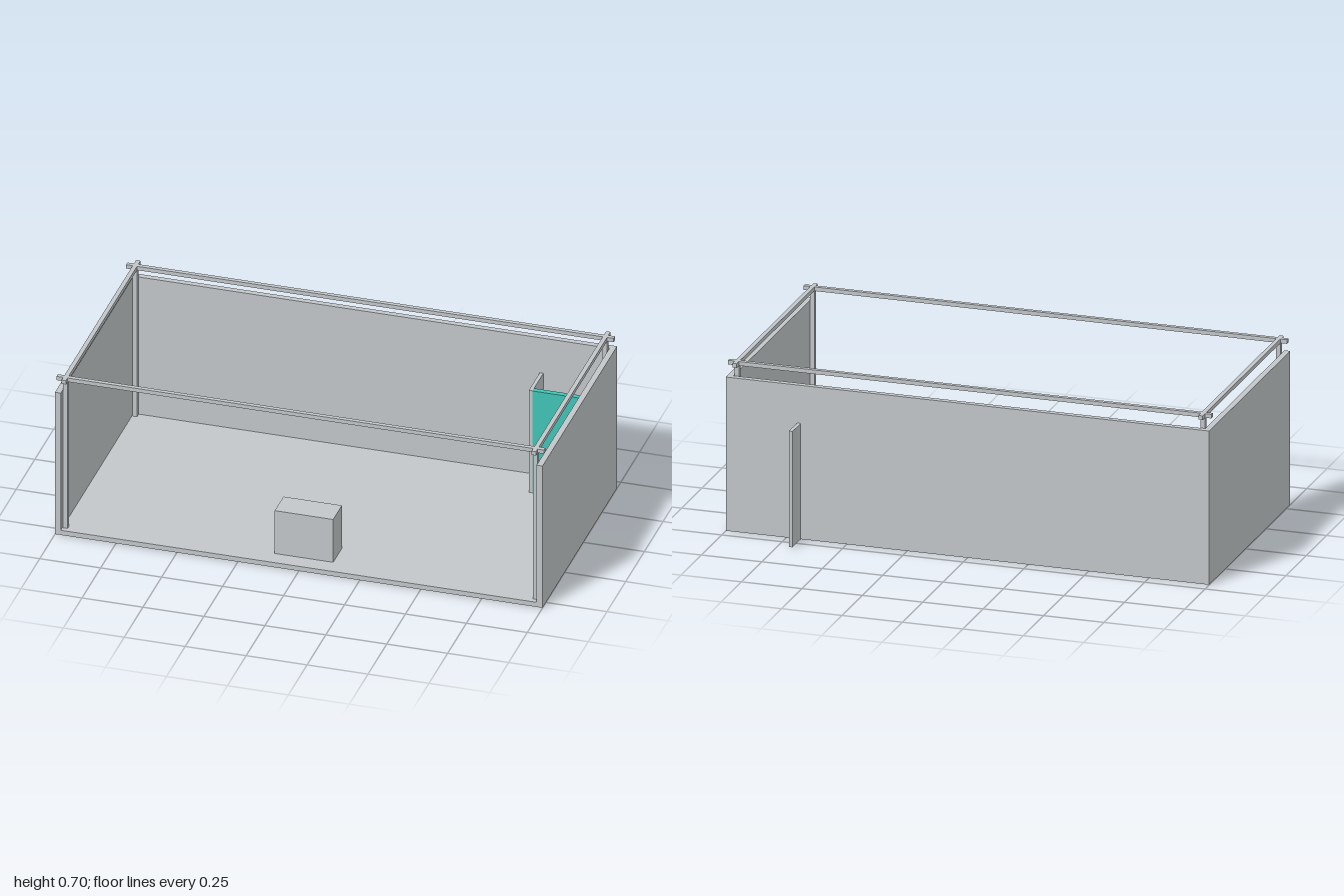
import * as THREE from 'three';

export function createModel() {
  const model = new THREE.Group();
  model.name = 'boothRoom';

  const grey = new THREE.MeshStandardMaterial({ color: 0xc2c6c9 });
  grey.name = 'light grey';
  const teal = new THREE.MeshStandardMaterial({ color: 0x40c4b5 });
  teal.name = 'teal';

  // Box given by its minimum and maximum corners
  function block(name, min, max, material = grey) {
    const size = max.map((v, i) => v - min[i]);
    const mesh = new THREE.Mesh(new THREE.BoxGeometry(...size), material);
    mesh.position.set(...max.map((v, i) => (v + min[i]) / 2));
    mesh.name = name;
    model.add(mesh);
    return mesh;
  }

  const back = -0.45, front = 0.547, wallTop = 0.64, wall = 0.024;

  // Floor and back wall; the front stays open
  block('floor', [-1 + wall, 0.001, back + wall], [1 - wall, 0.022, front]);
  block('backWall', [-1 + wall, 0.001, back], [1 - wall, wallTop, back + wall]);

  // Side walls
  for (const side of [-1, 1]) {
    const x = side * (1 - wall / 2);
    block(side > 0 ? 'leftWall' : 'rightWall',
      [x - wall / 2, 0.001, back], [x + wall / 2, wallTop, front]);
  }

  // Corner posts and the frame of crossing rails above the walls
  const half = 0.009, railBottom = 0.683, railTop = 0.7;
  const postX = 0.964, postZ = [-0.413, 0.516];
  for (const z of postZ) {
    for (const x of [-postX, postX]) {
      block('cornerPost', [x - half, 0.022, z - half], [x + half, railTop - 0.001, z + half]);
    }
    block('longRail', [-1, railBottom, z - half], [1, railTop, z + half]);
  }
  for (const x of [-postX, postX]) {
    block('crossRail', [x - half, railBottom, back], [x + half, railTop, front]);
  }

  // Closet corner: a door leaf through the back wall and a teal panel
  block('doorLeaf', [0.69, 0, -0.55], [0.705, 0.482, -0.28]);
  block('tealPanel', [0.705, 0, -0.301], [0.953, 0.482, -0.279], teal);

  // Reception counter near the open front
  block('counter', [-0.12, 0.022, 0.36], [0.12, 0.215, 0.477]);

  return model;
}
